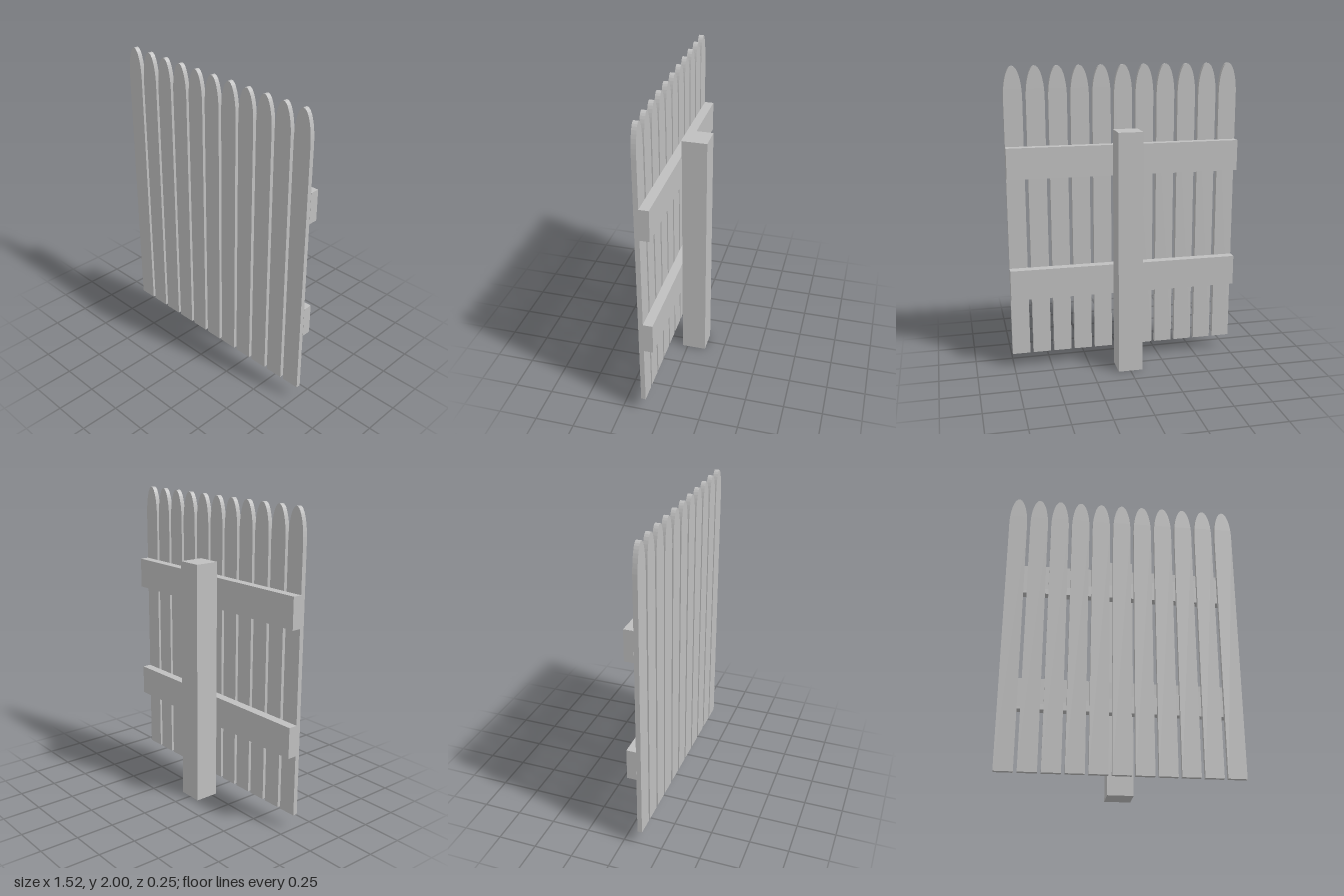
import * as THREE from 'three';

export function createModel() {
  const fence = new THREE.Group();
  fence.name = 'fencePanel';
  const wood = new THREE.MeshStandardMaterial({ color: 0xbfbfbf });
  wood.name = 'plainGrey';

  const add = (name, geometry, x, y, z) => {
    const mesh = new THREE.Mesh(geometry, wood);
    mesh.name = name;
    mesh.position.set(x, y, z);
    fence.add(mesh);
  };

  // Square post behind the panel
  add('post', new THREE.BoxGeometry(0.16, 1.6, 0.16), 0, 0.8, -0.045);

  // Two horizontal rails
  const railGeometry = new THREE.BoxGeometry(1.52, 0.2, 0.06);
  add('lowerRail', railGeometry, 0, 0.6, 0.065);
  add('upperRail', railGeometry, 0, 1.4, 0.065);

  // Round-topped picket outline
  const outline = new THREE.Shape();
  outline.moveTo(-0.059, 0.1);
  outline.lineTo(0.059, 0.1);
  outline.lineTo(0.059, 1.8);
  outline.absellipse(0, 1.8, 0.059, 0.2, 0, Math.PI, false, 0);
  outline.closePath();
  const picketGeometry = new THREE.ExtrudeGeometry(outline, {
    depth: 0.03, bevelEnabled: false, curveSegments: 10,
  });

  // Row of eleven pickets
  for (let i = -5; i <= 5; i++) add('picket' + (i + 6), picketGeometry, i * 0.14, 0, 0.095);

  return fence;
}
